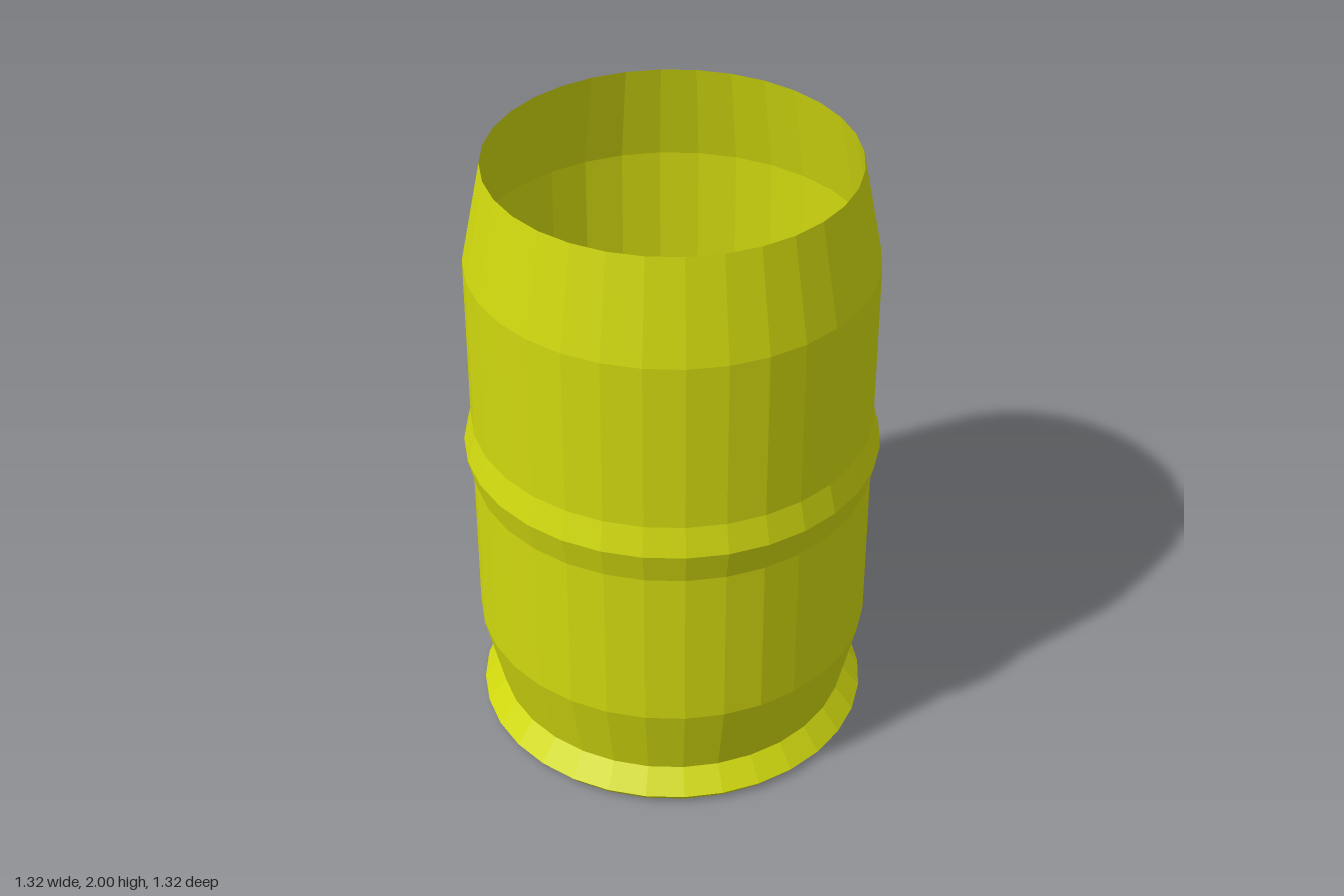
import * as THREE from 'three';

const SIDES = 32;

export function createModel() {
  const group = new THREE.Group();
  group.name = 'barrel';

  const material = new THREE.MeshStandardMaterial({
    color: 0xd0d80e,
    flatShading: true,
    side: THREE.DoubleSide,
  });

  const addLathe = (name, profile) => {
    const points = profile.map(([r, y]) => new THREE.Vector2(r, y));
    const mesh = new THREE.Mesh(new THREE.LatheGeometry(points, SIDES), material);
    mesh.name = name;
    group.add(mesh);
  };

  // Floor disc, seen from below and through the open top
  const floor = new THREE.Mesh(new THREE.CircleGeometry(0.615, SIDES), material);
  floor.rotation.x = Math.PI / 2;
  floor.name = 'floor';
  group.add(floor);

  // Flared foot rim narrowing to the neck
  addLathe('footRim', [[0.615, 0], [0.635, 0.025], [0.575, 0.1]]);

  // Thin lower wall
  addLathe('lowerWall', [[0.575, 0.1], [0.635, 0.36], [0.635, 0.91]]);

  // Raised hoop around the middle
  addLathe('middleHoop', [[0.635, 0.91], [0.66, 1.015], [0.635, 1.11]]);

  // Upper wall tapering to the open mouth
  addLathe('upperWall', [[0.635, 1.11], [0.635, 1.67], [0.57, 2]]);

  return group;
}
